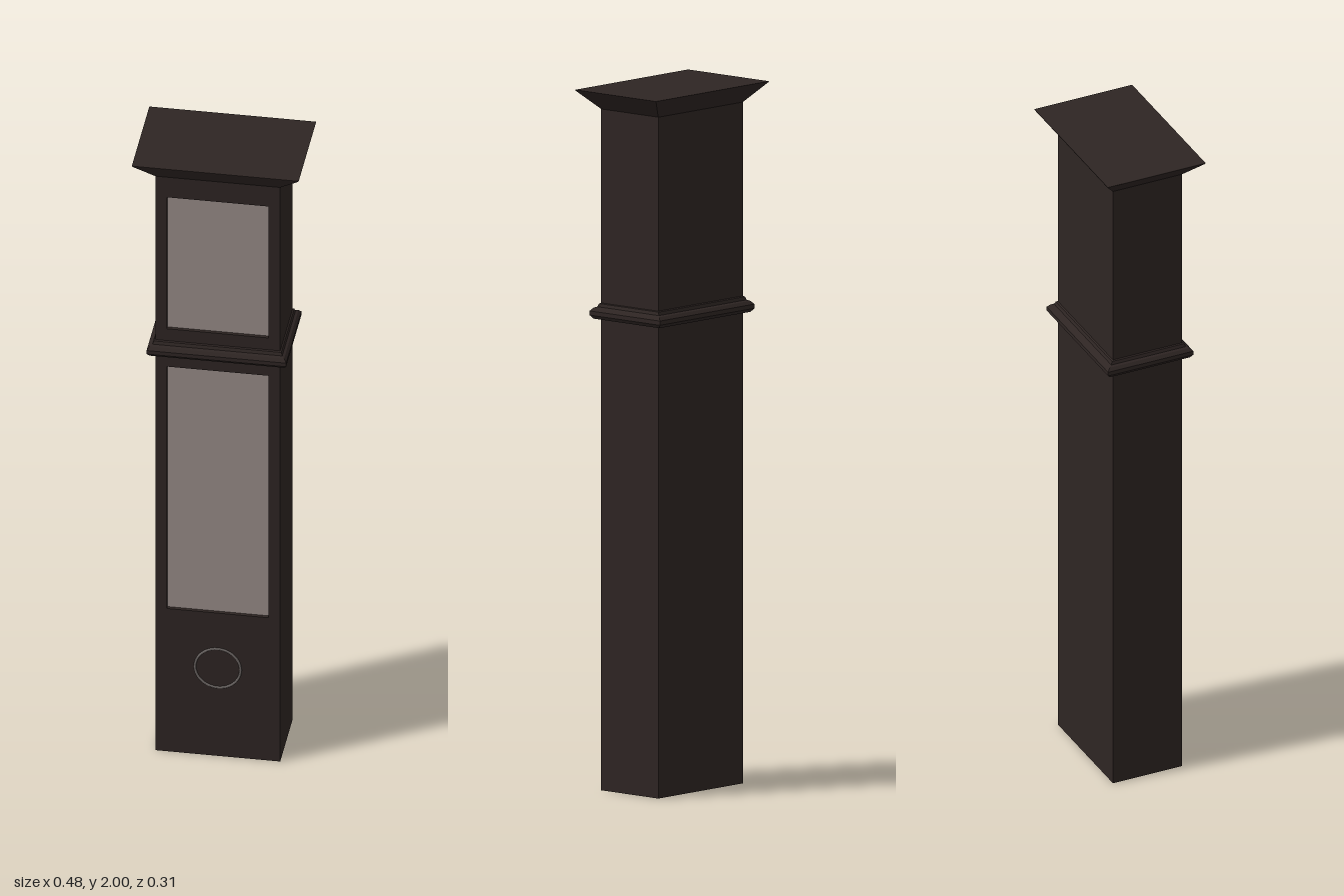
import * as THREE from 'three';

const wood = new THREE.MeshStandardMaterial({ color: 0x2e2523 });
const glass = new THREE.MeshStandardMaterial({ color: 0x988c88 });
const metal = new THREE.MeshStandardMaterial({ color: 0x6a6462 });

const HX = 0.178, HZ = 0.108, RECESS = 0.012;
const CASE_TOP = 1.943;

function part(name, geometry, material, x = 0, y = 0, z = 0) {
  const mesh = new THREE.Mesh(geometry, material);
  mesh.name = name;
  mesh.position.set(x, y, z);
  return mesh;
}

// Mitred rectangular moulding; sections are [halfX, halfZ, y] from bottom to top
function moulding(sections) {
  const corners = sections.map(([x, z, y]) => [[-x, y, z], [x, y, z], [x, y, -z], [-x, y, -z]]);
  const pos = [];
  const quad = (a, b, c, d) => pos.push(...a, ...b, ...c, ...a, ...c, ...d);
  for (let i = 0; i < corners.length - 1; i++) {
    for (let k = 0; k < 4; k++) {
      const n = (k + 1) % 4;
      quad(corners[i][k], corners[i][n], corners[i + 1][n], corners[i + 1][k]);
    }
  }
  quad(...corners[corners.length - 1]);
  quad(...corners[0].slice().reverse());
  const geometry = new THREE.BufferGeometry();
  geometry.setAttribute('position', new THREE.Float32BufferAttribute(pos, 3));
  geometry.computeVertexNormals();
  return geometry;
}

function rectangle(PathType, hx, y0, y1) {
  return new PathType([[-hx, y0], [hx, y0], [hx, y1], [-hx, y1]].map(p => new THREE.Vector2(...p)));
}

export function createModel() {
  const clock = new THREE.Group();
  clock.name = 'longcaseClock';

  // Case body behind the front panel
  const depth = 2 * HZ - RECESS;
  clock.add(part('caseBody', new THREE.BoxGeometry(2 * HX, CASE_TOP, depth), wood, 0, CASE_TOP / 2, -RECESS / 2));

  // Front panel with two window openings, and the panes set into them
  const front = rectangle(THREE.Shape, HX, 0, CASE_TOP);
  const windows = [
    { name: 'dialWindow', y0: 1.43, y1: 1.875 },
    { name: 'pendulumWindow', y0: 0.483, y1: 1.302 },
  ];
  for (const { name, y0, y1 } of windows) {
    front.holes.push(rectangle(THREE.Path, 0.145, y0, y1));
    clock.add(part(name, new THREE.PlaneGeometry(0.29, y1 - y0), glass, 0, (y0 + y1) / 2, HZ - RECESS + 0.002));
  }
  const panel = new THREE.ExtrudeGeometry(front, { depth: RECESS, bevelEnabled: false });
  clock.add(part('frontPanel', panel, wood, 0, 0, HZ - RECESS));

  // Waist moulding: [projection, y]
  const waist = [[0, 1.342], [0.014, 1.345], [0.021, 1.355], [0.021, 1.367], [0.014, 1.376], [0.007, 1.379], [0.004, 1.388], [0, 1.39]];
  clock.add(part('waistMoulding', moulding(waist.map(([p, y]) => [HX + p, HZ + p * 1.2, y])), wood));

  // Flared cornice
  clock.add(part('cornice', moulding([[HX, HZ, CASE_TOP], [0.236, 0.152, 1.997], [0.238, 0.153, 2]]), wood));

  // Thin ring on the base
  clock.add(part('baseRing', new THREE.TorusGeometry(0.065, 0.0035, 8, 48), metal, 0, 0.297, HZ));

  return clock;
}
